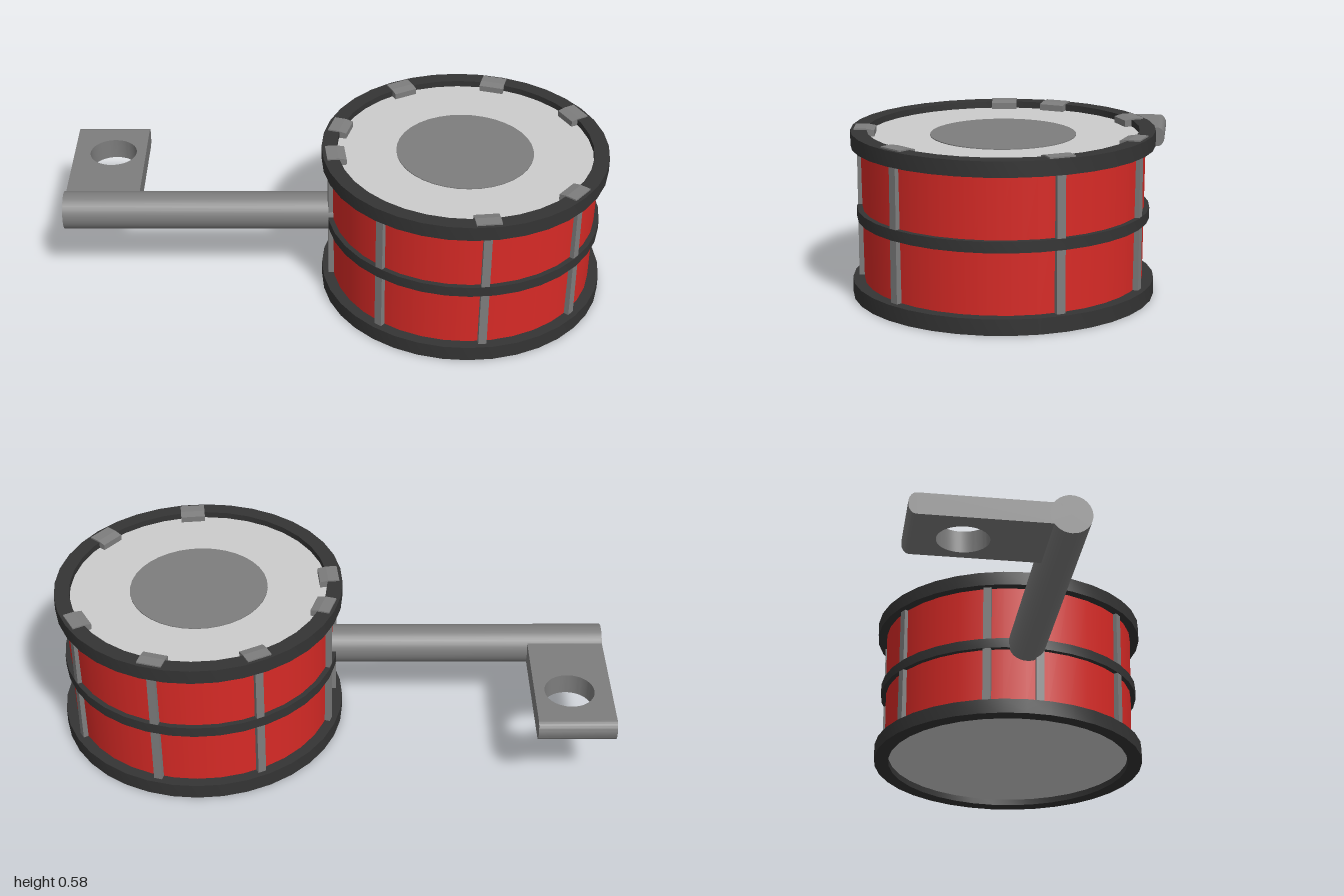
import * as THREE from 'three';
import { toCreasedNormals } from 'three/addons/utils/BufferGeometryUtils.js';

const paint = (color) => new THREE.MeshStandardMaterial({ color });
const black = paint(0x343434);
const steel = paint(0x7d7d7d);
const red = paint(0xd82a26);
const skin = paint(0xcccccc);

const DRUM_X = 0.478;
const SEGMENTS = 36;

function add(parent, name, geometry, material, x = 0, y = 0, z = 0) {
  const mesh = new THREE.Mesh(geometry, material);
  mesh.name = name;
  mesh.position.set(x, y, z);
  parent.add(mesh);
  return mesh;
}

// Rectangular ring around the y axis with crisp edges
function ring(inner, outer, y0, y1) {
  const profile = [[inner, y0], [outer, y0], [outer, y1], [inner, y1], [inner, y0]]
    .map(([r, y]) => new THREE.Vector2(r, y));
  return toCreasedNormals(new THREE.LatheGeometry(profile, SEGMENTS), 0.6);
}

function createDrum() {
  const drum = new THREE.Group();
  drum.name = 'drum';
  drum.position.x = DRUM_X;

  // Shell, hoops and heads, both heads recessed in their hoops
  add(drum, 'shell', new THREE.CylinderGeometry(0.488, 0.482, 0.5, SEGMENTS, 1, true), red, 0, 0.29);
  add(drum, 'bottomHoop', ring(0.467, 0.522, 0, 0.055), black);
  add(drum, 'middleBand', ring(0.47, 0.504, 0.27, 0.308), black);
  add(drum, 'topHoop', ring(0.467, 0.522, 0.522, 0.575), black);
  add(drum, 'topHead', new THREE.CylinderGeometry(0.48, 0.48, 0.02, SEGMENTS), skin, 0, 0.542);
  add(drum, 'headPatch', new THREE.CylinderGeometry(0.25, 0.25, 0.004, SEGMENTS), steel, 0, 0.553);
  add(drum, 'bottomHead', new THREE.CylinderGeometry(0.48, 0.48, 0.02, SEGMENTS), skin, 0, 0.034);

  // Clip section: flat over the hoop, dipping slightly towards the head
  const clipShape = new THREE.Shape([
    [0.438, 0.548], [0.508, 0.548], [0.508, 0.58], [0.468, 0.58], [0.438, 0.574],
  ].map(([r, y]) => new THREE.Vector2(r, y)));
  const clipGeometry = new THREE.ExtrudeGeometry(clipShape, { depth: 0.09, bevelEnabled: false });
  clipGeometry.translate(0, 0, -0.045);
  const rodGeometry = new THREE.BoxGeometry(0.03, 0.5, 0.03);

  // Tension rods with clips; the rod at 129 degrees has no clip
  for (const degrees of [39.5, 84, 129.5, 174, -28.5, -73.5, -117.5, -163]) {
    const station = new THREE.Group();
    station.name = 'tensionRod';
    station.rotation.y = -THREE.MathUtils.degToRad(degrees);
    add(station, 'rod', rodGeometry, steel, 0.486, 0.29);
    if (degrees !== 129.5) add(station, 'clip', clipGeometry, steel);
    drum.add(station);
  }
  return drum;
}

function createHandle() {
  const handle = new THREE.Group();
  handle.name = 'handle';
  handle.position.y = 0.296;

  // Round bar running into the shell
  const bar = new THREE.CylinderGeometry(0.07, 0.07, 1.02, 32);
  bar.rotateZ(Math.PI / 2);
  add(handle, 'bar', bar, steel, -0.49, 0, 0.004);

  // Flat bracket with a round hole; shape y points to the back
  const half = 0.039, end = 0.495, inner = -0.725;
  const plate = new THREE.Shape();
  plate.moveTo(-1, 0);
  plate.lineTo(inner, 0);
  plate.lineTo(inner, end);
  plate.lineTo(-1, end);
  plate.closePath();
  const hole = new THREE.Path();
  hole.absarc(-0.85, 0.331, 0.089, 0, Math.PI * 2, true);
  plate.holes.push(hole);
  const plateGeometry = new THREE.ExtrudeGeometry(plate, {
    depth: half * 2, bevelEnabled: false, curveSegments: 32,
  });
  plateGeometry.rotateX(-Math.PI / 2);
  add(handle, 'bracket', toCreasedNormals(plateGeometry, 0.6), steel, 0, -half);

  // Rounded far edge of the bracket: shape x points to the back
  const edge = new THREE.Shape();
  edge.moveTo(end, -half);
  edge.quadraticCurveTo(0.515, -half, 0.523, -0.012);
  edge.lineTo(0.523, 0.012);
  edge.quadraticCurveTo(0.515, half, end, half);
  edge.closePath();
  const edgeGeometry = new THREE.ExtrudeGeometry(edge, {
    depth: inner + 1, bevelEnabled: false, curveSegments: 8,
  });
  edgeGeometry.rotateY(Math.PI / 2);
  add(handle, 'bracketEdge', toCreasedNormals(edgeGeometry, 0.6), steel, -1);
  return handle;
}

export function createModel() {
  const model = new THREE.Group();
  model.name = 'drumWithHandle';
  model.add(createDrum(), createHandle());
  return model;
}
